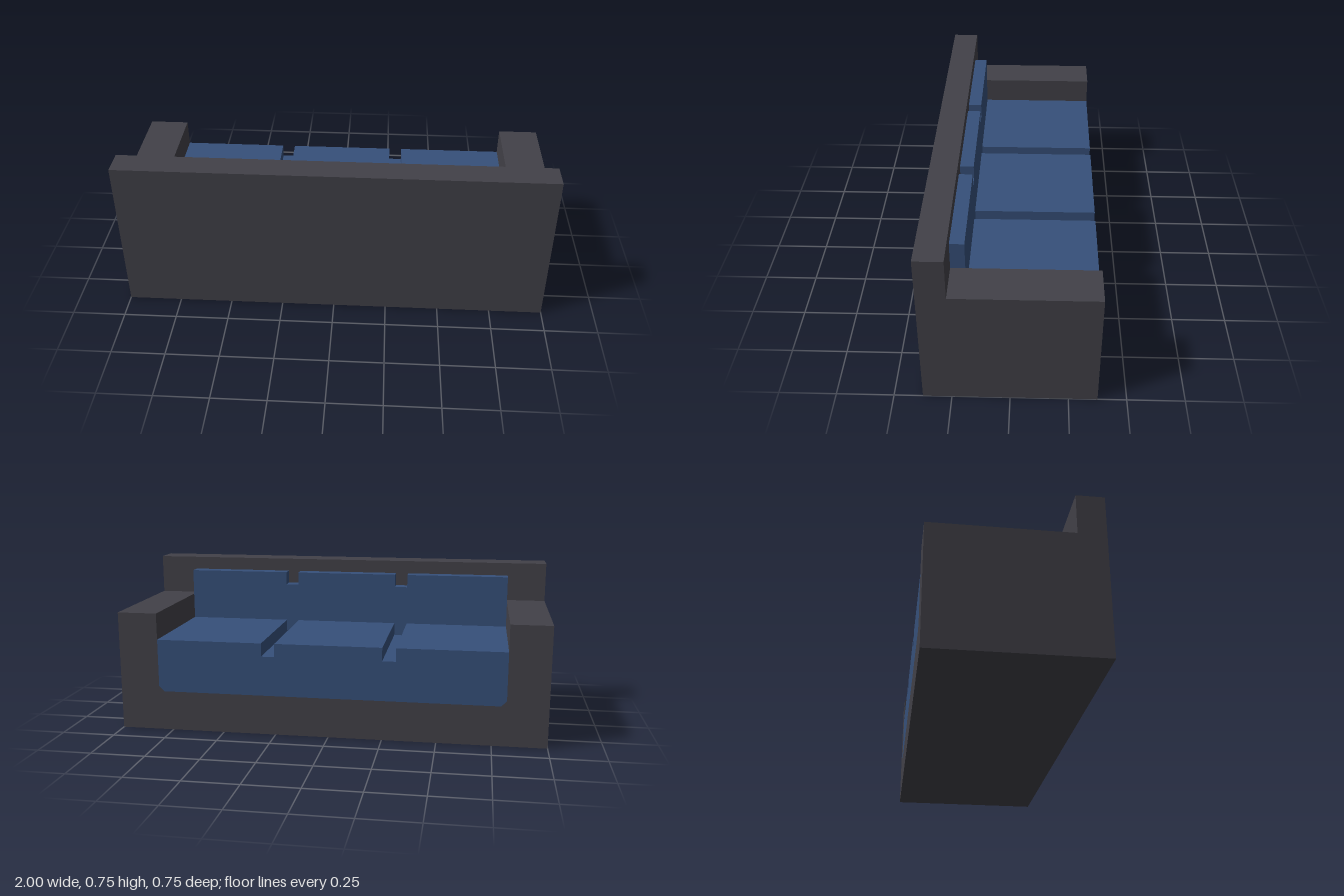
import * as THREE from 'three';

export function createModel() {
  const sofa = new THREE.Group();
  sofa.name = 'sofa';
  const grey = new THREE.MeshStandardMaterial({ name: 'charcoal frame', color: 0x424148 });
  const blue = new THREE.MeshStandardMaterial({ name: 'blue upholstery', color: 0x36507a });

  function add(name, geometry, material) {
    const mesh = new THREE.Mesh(geometry, material);
    mesh.name = name;
    sofa.add(mesh);
  }

  // Box given by its lower and upper corners
  function box(name, material, [x0, y0, z0], [x1, y1, z1]) {
    const g = new THREE.BoxGeometry(x1 - x0, y1 - y0, z1 - z0);
    g.translate((x0 + x1) / 2, (y0 + y1) / 2, (z0 + z1) / 2);
    add(name, g, material);
  }

  // Cross-section in x and y, run along z from front edge to backrest
  const front = -0.375, rear = 0.25, inner = 0.8125, c = 0.025;
  function run(name, material, points) {
    const shape = new THREE.Shape(points.map(([x, y]) => new THREE.Vector2(x, y)));
    const g = new THREE.ExtrudeGeometry(shape, { depth: rear - front, bevelEnabled: false });
    g.translate(0, 0, front);
    add(name, g, material);
  }

  // Seat trough with slightly cut lower corners
  const trough = [[-inner, 0.1875 + c], [-inner + c, 0.1875], [inner - c, 0.1875], [inner, 0.1875 + c]];

  // Base and both armrests in one U-shaped section, then the backrest
  run('baseAndArmrests', grey, [
    [-1, 0], [1, 0], [1, 0.5625], [inner, 0.5625],
    ...[...trough].reverse(),
    [-inner, 0.5625], [-1, 0.5625],
  ]);
  box('backrest', grey, [-1, 0, rear], [1, 0.75, 0.375]);

  // Continuous upholstery below the cushion gaps
  run('seatBase', blue, [...trough, [inner, 0.375], [-inner, 0.375]]);
  box('backCushionBase', blue, [-inner, 0.375, 0.1875], [inner, 0.625, rear]);

  // Three seat cushions and three back cushions
  for (const x of [-0.5625, 0, 0.5625]) {
    box('seatCushion', blue, [x - 0.25, 0.375, front], [x + 0.25, 0.4375, 0.1875]);
    box('backCushion', blue, [x - 0.25, 0.625, 0.1875], [x + 0.25, 0.6875, rear]);
  }
  return sofa;
}
